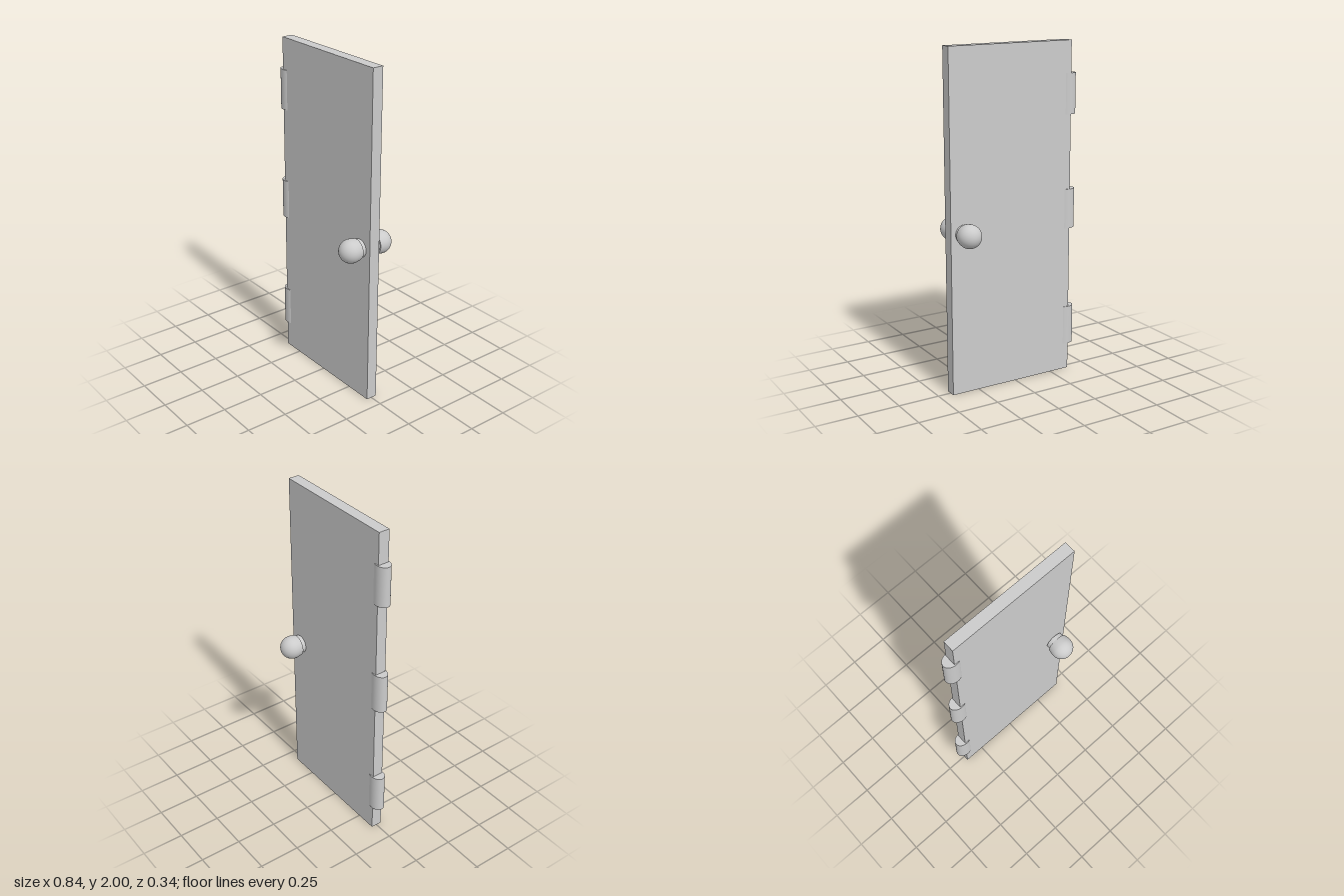
import * as THREE from 'three';

const material = new THREE.MeshStandardMaterial({ color: 0xcccccc });

function add(parent, name, geometry, x, y, z) {
  const mesh = new THREE.Mesh(geometry, material);
  mesh.name = name;
  mesh.position.set(x, y, z);
  parent.add(mesh);
  return mesh;
}

// Rounded head: short tapered skirt running into a dome, axis along +z
function knobHeadGeometry() {
  const r = 0.069;
  const points = [[0, -0.04], [0.0625, -0.04], [0.0625, -0.04], [0.066, -0.025], [0.068, -0.012]]
    .map(([x, y]) => new THREE.Vector2(x, y));
  for (let i = 0; i <= 14; i++) {
    const a = (i / 14) * Math.PI / 2;
    points.push(new THREE.Vector2(i === 14 ? 0 : r * Math.cos(a), r * Math.sin(a)));
  }
  return new THREE.LatheGeometry(points, 40).rotateX(Math.PI / 2);
}

export function createModel() {
  const model = new THREE.Group();
  model.name = 'door';

  // Plain slab
  add(model, 'doorPanel', new THREE.BoxGeometry(0.796, 2, 0.066), 0.022, 1, -0.001);

  // Three oval hinge barrels on the hinge edge
  const hinge = new THREE.CylinderGeometry(1, 1, 0.238, 40).scale(0.053, 1, 0.04);
  [0.281, 1.011, 1.693].forEach((y, i) => add(model, `hinge${i + 1}`, hinge, -0.37, y, -0.001));

  // Matching knobs on the front and back
  const neck = new THREE.CylinderGeometry(0.054, 0.054, 0.027, 40).rotateX(Math.PI / 2);
  const head = knobHeadGeometry();
  for (const [name, turn] of [['frontKnob', 0], ['backKnob', Math.PI]]) {
    const knob = new THREE.Group();
    knob.name = name;
    knob.position.set(0.339, 0.957, -0.001);
    knob.rotation.y = turn;
    add(knob, 'knobNeck', neck, 0, 0, 0.0505);
    add(knob, 'knobHead', head, 0, 0, 0.102);
    model.add(knob);
  }

  return model;
}
